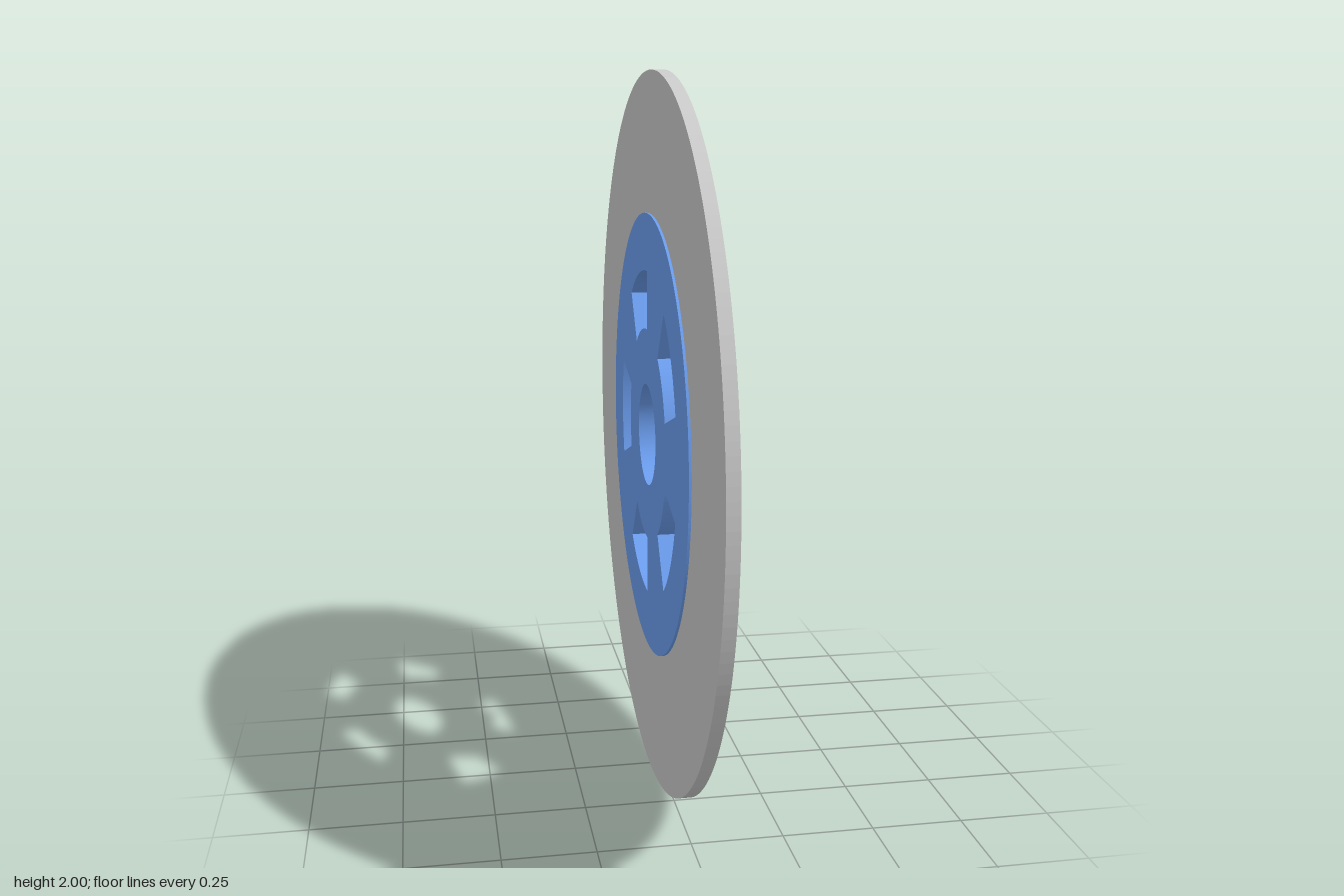
import * as THREE from 'three';

const SEGMENTS = 48;
const grey = new THREE.MeshStandardMaterial({ color: 0xcccccc });
const greyFlat = new THREE.MeshStandardMaterial({ color: 0xcccccc, flatShading: true });
const blue = new THREE.MeshStandardMaterial({ color: 0x6c9eef });

// Round plate with a centre hole and optional further holes, from z0 to z1
function plate(name, outer, inner, z0, z1, material, holes = []) {
  const shape = new THREE.Shape().absarc(0, 0, outer, 0, Math.PI * 2, false);
  shape.holes.push(new THREE.Path().absarc(0, 0, inner, 0, Math.PI * 2, true), ...holes);
  const geometry = new THREE.ExtrudeGeometry(shape, {
    depth: z1 - z0, bevelEnabled: false, curveSegments: SEGMENTS * 2,
  });
  geometry.translate(0, 0, z0);
  const mesh = new THREE.Mesh(geometry, material);
  mesh.name = name;
  return mesh;
}

// Window bounded by two arcs and two radial edges
function windowHole(angle, halfSpan, inner, outer) {
  const path = new THREE.Path();
  path.absarc(0, 0, outer, angle - halfSpan, angle + halfSpan, false);
  path.absarc(0, 0, inner, angle + halfSpan, angle - halfSpan, true);
  path.closePath();
  return path;
}

// Evenly spaced circle of bolt heads seated on the hub face
function boltCircle(name, count, circleRadius, headRadius, sides, z0, z1) {
  const ring = new THREE.Group();
  ring.name = name + 's';
  const geometry = new THREE.CylinderGeometry(headRadius, headRadius, z1 - z0, sides);
  geometry.rotateX(Math.PI / 2);
  geometry.rotateZ(Math.PI / 2);
  for (let i = 0; i < count; i++) {
    const angle = (i / count) * Math.PI * 2;
    const bolt = new THREE.Mesh(geometry, greyFlat);
    bolt.name = name;
    bolt.position.set(Math.cos(angle) * circleRadius, Math.sin(angle) * circleRadius, (z0 + z1) / 2);
    bolt.rotation.z = angle;
    ring.add(bolt);
  }
  return ring;
}

export function createModel() {
  const model = new THREE.Group();
  model.name = 'discWheel';

  // Built with its axis along z, then turned so the bolted face looks to +x
  const wheel = new THREE.Group();
  wheel.name = 'wheel';
  wheel.position.y = 1;
  wheel.rotation.y = Math.PI / 2;
  model.add(wheel);

  const windows = [];
  for (let i = 0; i < 5; i++) {
    windows.push(windowHole((i / 5) * Math.PI * 2, THREE.MathUtils.degToRad(18.5), 0.3, 0.462));
  }

  wheel.add(
    plate('outerDisc', 1, 0.61, -0.027, 0.007, grey),
    plate('hubPlate', 0.62, 0.143, -0.034, 0.014, blue, windows),
    boltCircle('rimBolt', 10, 0.61, 0.026, 8, 0.005, 0.034),
    boltCircle('hubBolt', 5, 0.272, 0.034, 6, 0.012, 0.034),
  );
  return model;
}
